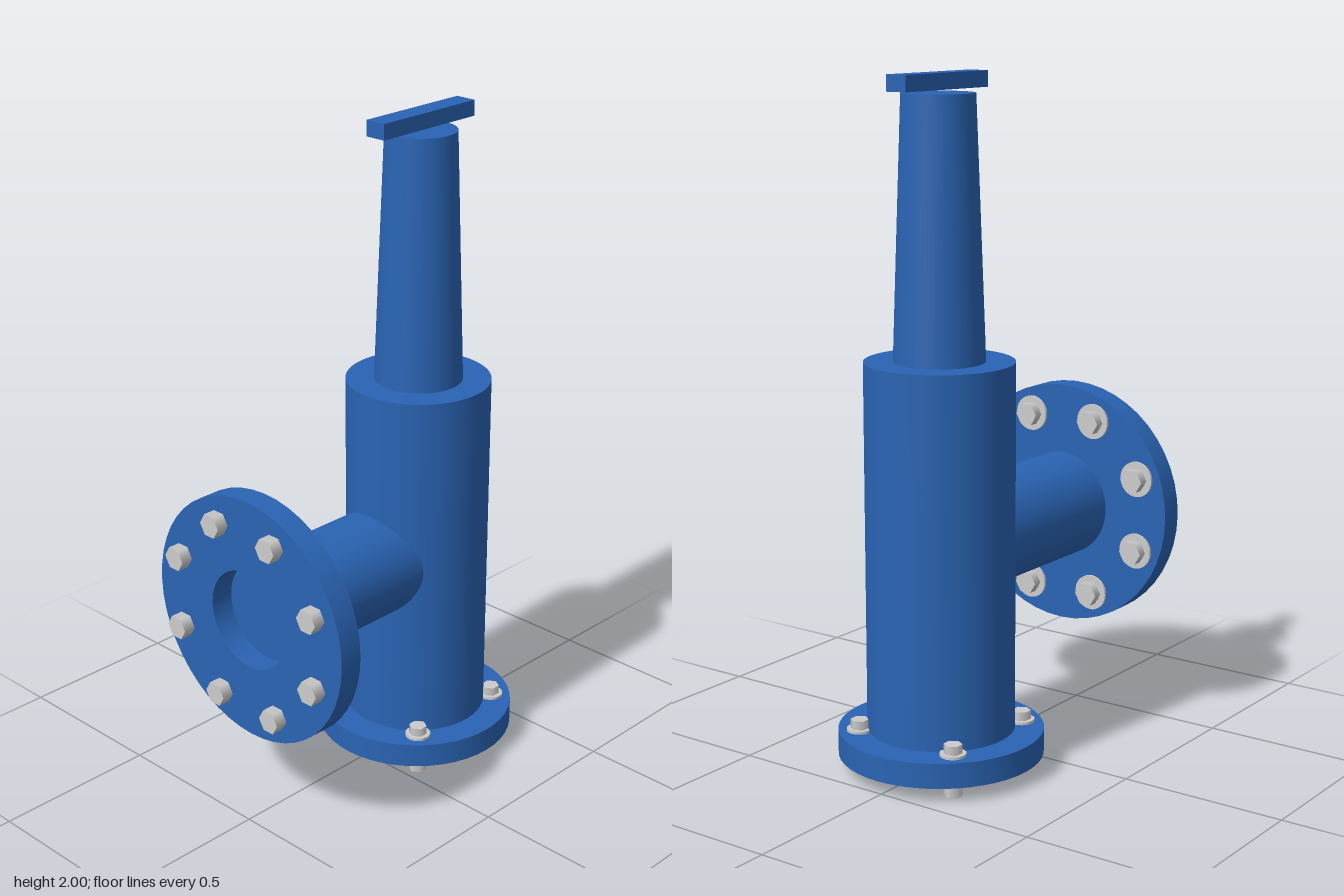
import * as THREE from 'three';
import { toCreasedNormals } from 'three/addons/utils/BufferGeometryUtils.js';

const blue = new THREE.MeshStandardMaterial({ color: 0x2a64b4 });
const grey = new THREE.MeshStandardMaterial({ color: 0xcccccc });
const AXIS_X = 0.218;

function addMesh(parent, name, geometry, material, x = 0, y = 0, z = 0) {
  const mesh = new THREE.Mesh(geometry, material);
  mesh.name = name;
  mesh.position.set(x, y, z);
  parent.add(mesh);
  return mesh;
}

// Flat ring with a central bore, standing on y = 0
function ring(inner, outer, height) {
  const profile = [[inner, 0], [outer, 0], [outer, height], [inner, height], [inner, 0]]
    .map(([r, y]) => new THREE.Vector2(r, y));
  return toCreasedNormals(new THREE.LatheGeometry(profile, 48), 0.6);
}

function hexagon(radius, height, turn) {
  return new THREE.CylinderGeometry(radius, radius, height, 6).toNonIndexed().rotateY(turn);
}

// Bored flange with a circle of bolts; washers lie on the upper face
function flange(name, o) {
  const group = new THREE.Group();
  group.name = name;
  addMesh(group, 'flangeDisc', ring(o.bore, o.radius, o.height), blue);
  const nut = hexagon(o.hex, o.nutHeight, o.turn);
  const head = hexagon(o.hex, o.headHeight, o.turn);
  const washer = ring(o.hex * 0.9, o.washer, 0.008);
  for (let i = 0; i < o.count; i++) {
    const a = (i + 0.5) * Math.PI * 2 / o.count;
    const bolt = new THREE.Group();
    bolt.name = 'bolt';
    bolt.position.set(Math.cos(a) * o.circle, 0, Math.sin(a) * o.circle);
    addMesh(bolt, 'nut', nut, grey, 0, -o.nutHeight / 2);
    addMesh(bolt, 'washer', washer, grey, 0, o.height);
    addMesh(bolt, 'boltHead', head, grey, 0, o.height + o.headHeight / 2);
    group.add(bolt);
  }
  return group;
}

export function createModel() {
  const model = new THREE.Group();
  model.name = 'valve';

  // Upright body, tapered neck and crossbar
  addMesh(model, 'body', new THREE.CylinderGeometry(0.215, 0.215, 1.08, 64), blue, AXIS_X, 0.66);
  addMesh(model, 'neck', new THREE.CylinderGeometry(0.104, 0.131, 0.745, 64), blue, AXIS_X, 1.5725);
  addMesh(model, 'crossbar', new THREE.BoxGeometry(0.372, 0.046, 0.066), blue, AXIS_X, 1.977);

  // Side pipe running into the body
  const pipe = addMesh(model, 'sidePipe', new THREE.CylinderGeometry(0.16, 0.16, 0.62, 64), blue, -0.1, 0.66);
  pipe.rotation.z = -Math.PI / 2;

  // Base flange
  const base = flange('baseFlange', {
    bore: 0.083, radius: 0.3, height: 0.074, circle: 0.238, count: 4,
    hex: 0.027, washer: 0.038, nutHeight: 0.045, headHeight: 0.034, turn: Math.PI / 2,
  });
  base.position.set(AXIS_X, 0.045, 0);
  model.add(base);

  // Side flange, washers towards the pipe
  const side = flange('sideFlange', {
    bore: 0.15, radius: 0.372, height: 0.073, circle: 0.293, count: 8,
    hex: 0.037, washer: 0.054, nutHeight: 0.037, headHeight: 0.037, turn: 0,
  });
  side.position.set(-0.482, 0.66, 0);
  side.rotation.z = -Math.PI / 2;
  model.add(side);

  return model;
}
